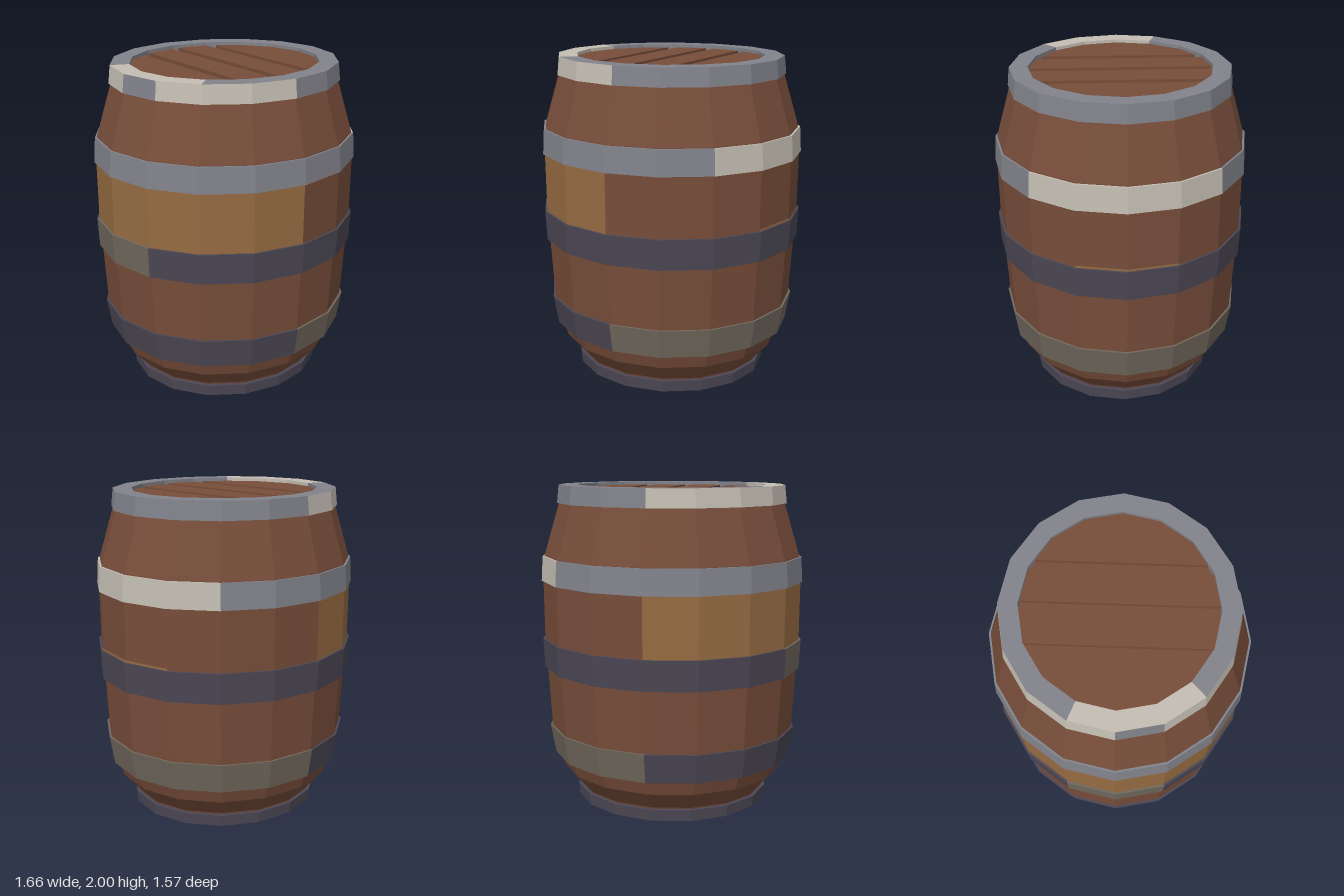
import * as THREE from 'three';

const SIDES = 16;
const STEP = (Math.PI * 2) / SIDES;
const DEPTH = 0.945; // the barrel is slightly narrower front to back

const flat = (name, color) => {
  const m = new THREE.MeshStandardMaterial({ color, flatShading: true });
  m.name = name;
  return m;
};

export function createModel() {
  const wood = flat('brown wood', 0x774d3a);
  const amber = flat('amber wood', 0x966b42);
  const steel = flat('grey steel', 0x82838b);
  const pale = flat('pale steel', 0xc4beb3);
  const dark = flat('dark iron', 0x4b4754);
  const worn = flat('worn iron', 0x70675c);

  const barrel = new THREE.Group();
  barrel.name = 'barrel';

  const add = (name, geometry, material) => {
    const mesh = new THREE.Mesh(geometry, material);
    mesh.name = name;
    barrel.add(mesh);
  };

  // Turned strip covering facets from..to, counted from the front toward +x
  const turned = (name, profile, material, from = 0, to = SIDES) => {
    const points = profile.map(([r, y]) => new THREE.Vector2(r, y));
    const g = new THREE.LatheGeometry(points, to - from, from * STEP, (to - from) * STEP);
    add(name, g.scale(1, 1, DEPTH), material);
  };

  // One profile split into coloured arcs: [material, from, to]
  const arcs = (name, profile, list) =>
    list.forEach(([material, from, to]) => turned(name, profile, material, from, to));

  // Staves, with one half of the belly in lighter wood
  turned('lowerStaves', [[0.59, 0.05], [0.6, 0.08], [0.705, 0.2], [0.745, 0.32],
    [0.782, 0.475], [0.803, 0.86], [0.815, 1.04]], wood);
  arcs('bellyStaves', [[0.815, 1.04], [0.817, 1.42]], [[wood, 0, 8], [amber, 8, 16]]);
  turned('upperStaves', [[0.817, 1.42], [0.805, 1.57], [0.705, 1.9]], wood);
  turned('staveEdge', [[0.818, 1.045], [0.818, 1.058]], amber, 3, 5);

  // Hoops around the body
  const hoop = (y0, r0, y1, r1) =>
    [[r0 - 0.05, y0], [r0, y0], [r1, y1], [r1 - 0.05, y1]];
  arcs('upperHoop', hoop(1.41, 0.828, 1.565, 0.818),
    [[steel, 0, 2], [pale, 2, 6], [steel, 6, 16]]);
  arcs('middleHoop', hoop(0.86, 0.82, 1.045, 0.829),
    [[dark, 0, 11], [worn, 11, 13], [dark, 13, 16]]);
  arcs('lowerHoop', hoop(0.293, 0.765, 0.475, 0.796),
    [[worn, 0, 8], [dark, 8, 16]]);

  // Top hoop: outer band, then the rim with its inner wall
  arcs('topHoop', [[0.68, 1.89], [0.72, 1.89], [0.708, 2]],
    [[steel, 0, 8], [pale, 8, 12], [steel, 12, 13], [pale, 13, 16]]);
  arcs('topRim', [[0.708, 2], [0.59, 2], [0.59, 1.95]],
    [[steel, 0, 11], [pale, 11, 14], [steel, 14, 16]]);

  // Base hoop and recessed bottom
  turned('baseHoop', [[0.53, 0.03], [0.53, 0], [0.615, 0], [0.62, 0.07], [0.58, 0.07]], dark);
  turned('bottom', [[0, 0.025], [0.535, 0.025]], wood);

  // Lid: a disc under four boards parted by grooves
  const R = 0.59;
  turned('lidBase', [[R, 1.955], [0, 1.955]], wood);

  const corners = Array.from({ length: SIDES / 2 + 1 }, (_, i) =>
    [-R * Math.cos(i * STEP), R * DEPTH * Math.sin(i * STEP)]);
  const halfDepth = (x) => {
    for (let i = 0; i < corners.length - 1; i++) {
      const [xa, za] = corners[i], [xb, zb] = corners[i + 1];
      if (x <= xb) return za + ((zb - za) * (x - xa)) / (xb - xa);
    }
    return 0;
  };
  const gap = 0.028;
  const seams = [-R - gap, -0.25, 0, 0.25, R + gap];
  for (let i = 0; i < 4; i++) {
    const x0 = seams[i] + gap, x1 = seams[i + 1] - gap;
    const xs = [x0, ...corners.map((c) => c[0]).filter((x) => x > x0 + 1e-4 && x < x1 - 1e-4), x1];
    const edge = xs.map((x) => new THREE.Vector2(x, Math.max(halfDepth(x), 0.001)));
    const back = edge.map((p) => new THREE.Vector2(p.x, -p.y)).reverse();
    const g = new THREE.ExtrudeGeometry(new THREE.Shape([...edge, ...back]),
      { depth: 0.025, bevelEnabled: false });
    add('lidBoard', g.rotateX(-Math.PI / 2).translate(0, 1.955, 0), wood);
  }

  return barrel;
}
